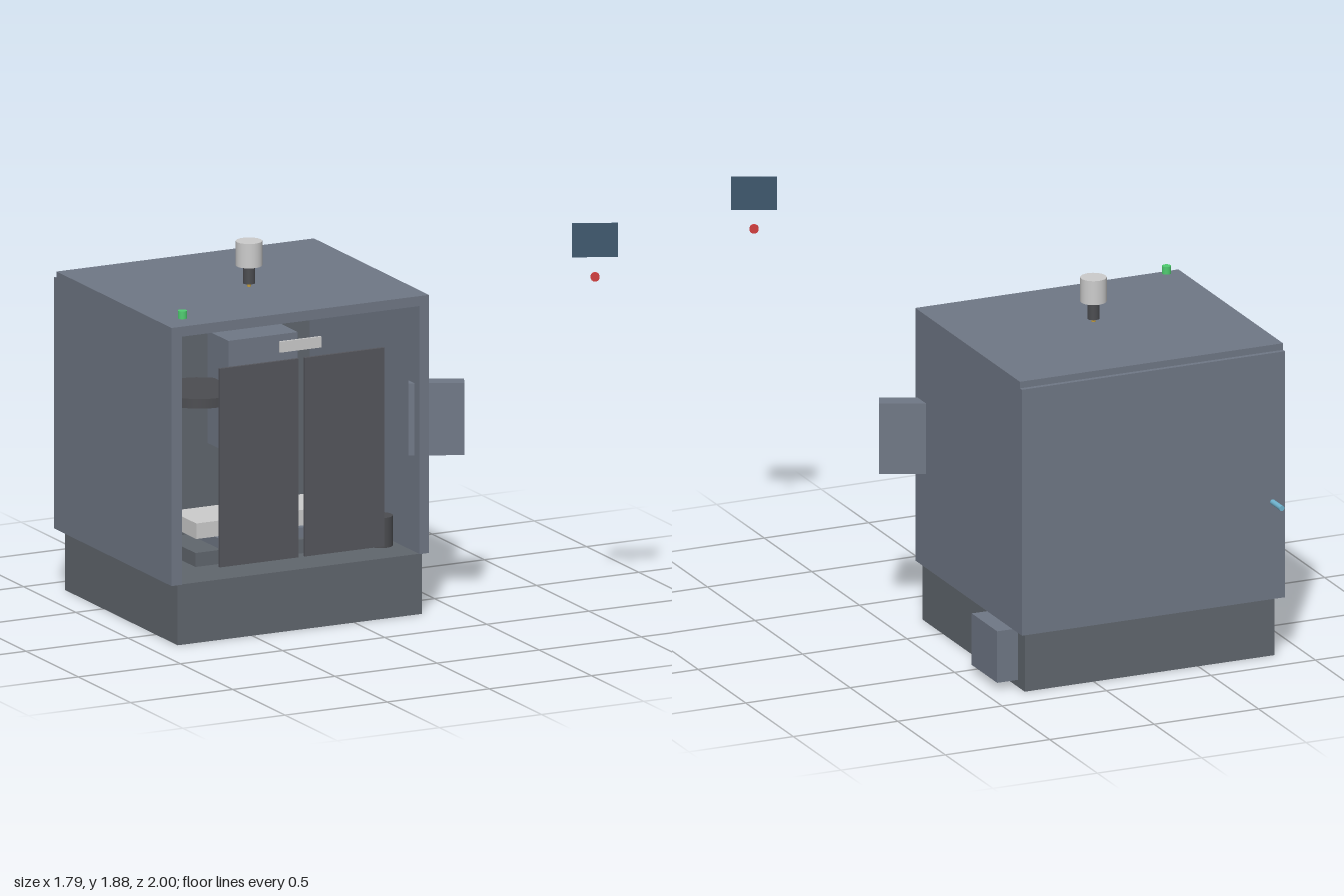
import * as THREE from 'three';

const mat = (color) => new THREE.MeshStandardMaterial({ color });
const shell = mat(0x6f7785), iron = mat(0x60666d), doorGrey = mat(0x55565c), dark = mat(0x4b4c50);
const light = mat(0xcccccc), red = mat(0xd03c3c), green = mat(0x4fcc70), gold = mat(0xc09a3c);
const blue = mat(0x6fb4cf), glass = mat(0x3d566c);

export function createModel() {
  const model = new THREE.Group();

  const add = (name, geometry, material, x, y, z, parent = model) => {
    const mesh = new THREE.Mesh(geometry, material);
    mesh.name = name;
    mesh.position.set(x, y, z);
    parent.add(mesh);
    return mesh;
  };
  // Box given by its limits on each axis
  const box = (name, material, [x0, x1], [y0, y1], [z0, z1]) =>
    add(name, new THREE.BoxGeometry(x1 - x0, y1 - y0, z1 - z0), material,
      (x0 + x1) / 2, (y0 + y1) / 2, (z0 + z1) / 2);
  // Upright cylinder from y0 to y1
  const post = (name, material, x, z, r, y0, y1, r0 = r) =>
    add(name, new THREE.CylinderGeometry(r, r0, y1 - y0, 32), material, x, (y0 + y1) / 2, z);

  // Base with a side electrical box
  box('base', iron, [-0.865, 0.33], [0, 0.272], [-0.865, 0.21]);
  box('sideBox', shell, [0.3, 0.43], [0.033, 0.27], [-0.795, -0.527]);

  // Enclosure: arch of two walls and a roof, open at the front
  const arch = new THREE.Shape([
    [-0.9, 0.273], [-0.85, 0.273], [-0.85, 1.39], [0.315, 1.39],
    [0.315, 0.273], [0.36, 0.273], [0.36, 1.435], [-0.9, 1.435],
  ].map(([x, y]) => new THREE.Vector2(x, y)));
  add('enclosure', new THREE.ExtrudeGeometry(arch, { depth: 1.1, bevelEnabled: false }), shell, 0, 0, -0.88);
  box('backPanel', shell, [-0.9, 0.36], [0.273, 1.405], [-0.902, -0.87]);

  // Sliding doors and the plate above them
  box('rightDoor', doorGrey, [-0.67, -0.285], [0.333, 1.227], [0.22, 0.234]);
  box('leftDoor', doorGrey, [-0.255, 0.135], [0.333, 1.227], [0.22, 0.234]);
  box('namePlate', light, [-0.374, -0.171], [1.264, 1.313], [0.22, 0.231]);

  // Machine inside: bed, saddle, column, table, vise and head
  box('bed', iron, [-0.655, 0.12], [0.272, 0.335], [-0.8, -0.03]);
  box('saddle', shell, [-0.53, 0], [0.335, 0.38], [-0.47, -0.06]);
  box('column', iron, [-0.595, 0.06], [0.272, 1.345], [-0.8, -0.335]);
  box('table', light, [-0.62, 0.08], [0.38, 0.45], [-0.335, -0.09]);
  box('vise', dark, [-0.37, -0.17], [0.45, 0.53], [-0.33, -0.17]);
  box('workpiece', light, [-0.33, -0.21], [0.53, 0.605], [-0.31, -0.2]);
  box('head', shell, [-0.44, -0.1], [0.735, 1.24], [-0.335, -0.136]);
  const nozzle = post('coolantNozzle', blue, -0.19, -0.29, 0.01, 0.61, 0.74);
  nozzle.rotation.z = 0.5;

  // Tool carousel and chip bucket
  post('toolCarousel', dark, -0.58, -0.14, 0.19, 1.0, 1.043);
  post('chipBucket', dark, 0.237, 0, 0.053, 0.272, 0.407);

  // Spindle unit standing above the roof
  post('spindleBody', light, -0.27, -0.27, 0.058, 1.53, 1.64);
  post('spindleNose', dark, -0.27, -0.27, 0.027, 1.45, 1.53);
  post('cutter', gold, -0.27, -0.27, 0.009, 1.378, 1.45);

  // Status lamp and rear air pipe
  post('statusLamp', green, -0.81, 0.148, 0.02, 1.452, 1.487);
  const pipe = add('airPipe', new THREE.CylinderGeometry(0.012, 0.012, 0.15, 20), blue, -0.84, 0.72, -0.925);
  pipe.rotation.x = Math.PI / 2;

  // Control cabinet turned toward the operator
  const cabinet = add('controlCabinet', new THREE.BoxGeometry(0.244, 0.325, 0.078), shell, 0.419, 0.868, 0.176);
  cabinet.rotation.y = -0.436;

  // Screen and stop button, turned by the same angle
  const panel = new THREE.Group();
  panel.name = 'controlPanel';
  panel.position.set(0.799, 0, 0.951);
  panel.rotation.y = -0.436;
  model.add(panel);
  add('screen', new THREE.BoxGeometry(0.202, 0.153, 0.005), glass, 0, 1.799, 0, panel);
  const button = add('stopButton', new THREE.CylinderGeometry(0.02, 0.02, 0.015, 24), red, 0, 1.634, 0.003, panel);
  button.rotation.x = Math.PI / 2;

  return model;
}
